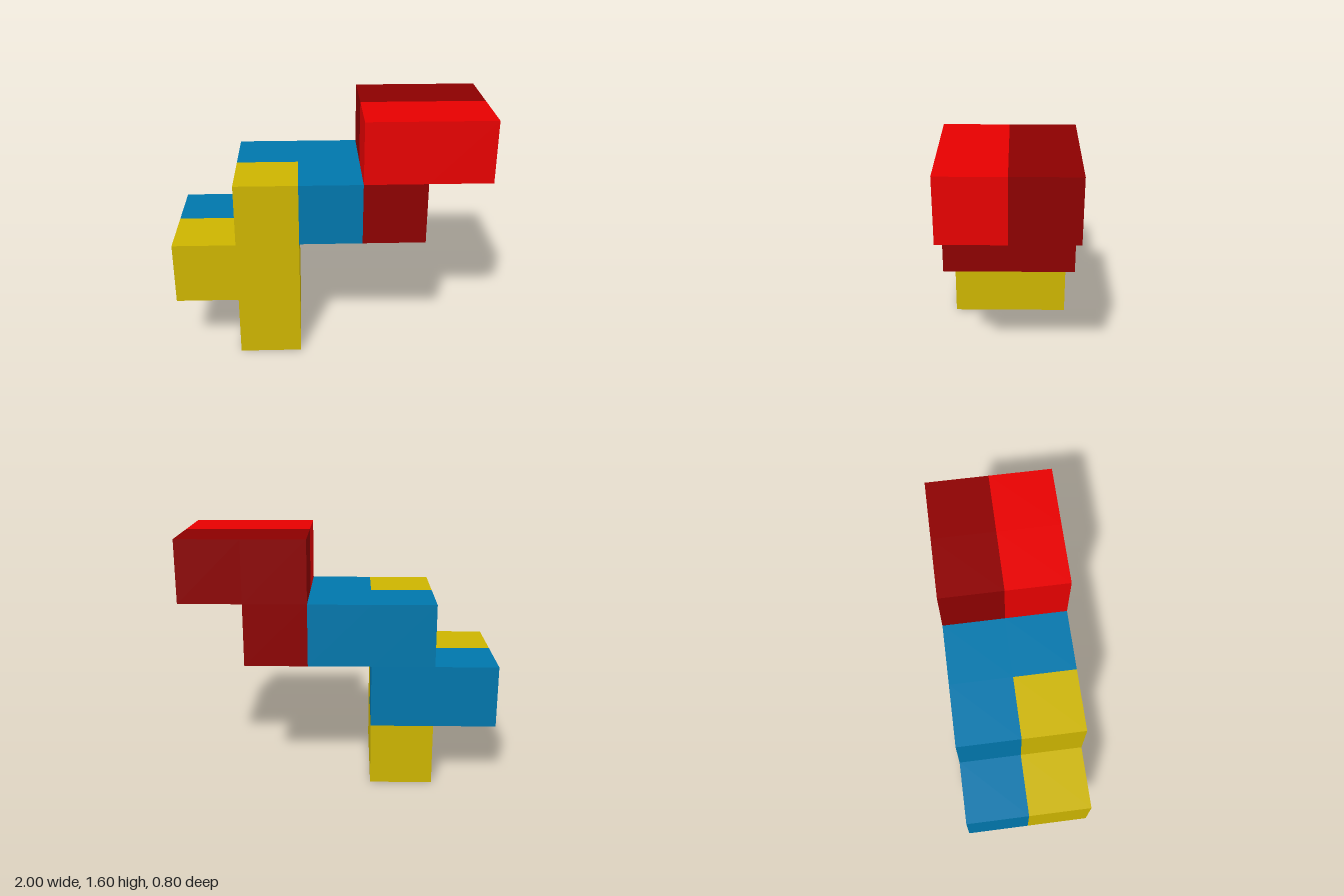
import * as THREE from 'three';
import { mergeGeometries } from 'three/addons/utils/BufferGeometryUtils.js';

const UNIT = 0.4;

// Each piece is made of unit cubes: [column, row, layer], layer 0 = back, 1 = front
const PIECES = [
  { name: 'yellowPiece', material: 'mustardYellow', color: 0xccb400,
    cells: [[1, 0, 0], [1, 0, 1], [1, 1, 1], [1, 2, 1], [0, 1, 1]] },
  { name: 'bluePiece', material: 'oceanBlue', color: 0x0076ab,
    cells: [[0, 1, 0], [1, 1, 0], [1, 2, 0], [2, 2, 0], [2, 2, 1]] },
  { name: 'darkRedPiece', material: 'darkRed', color: 0x8c0000,
    cells: [[3, 2, 1], [3, 2, 0], [3, 3, 0], [4, 3, 0]] },
  { name: 'redPiece', material: 'brightRed', color: 0xe60000,
    cells: [[3, 3, 1], [4, 3, 1]] },
];

const DIRECTIONS = [[1, 0, 0], [-1, 0, 0], [0, 1, 0], [0, -1, 0], [0, 0, 1], [0, 0, -1]];

// One square face of a unit cube, pointing along the given direction
function cubeFace([i, j, k], direction) {
  const normal = new THREE.Vector3(...direction);
  const turn = new THREE.Quaternion().setFromUnitVectors(new THREE.Vector3(0, 0, 1), normal);
  const centre = new THREE.Vector3(i - 2, j + 0.5, k - 0.5)
    .addScaledVector(normal, 0.5)
    .multiplyScalar(UNIT);
  return new THREE.PlaneGeometry(UNIT, UNIT)
    .applyQuaternion(turn)
    .translate(centre.x, centre.y, centre.z);
}

export function createModel() {
  const group = new THREE.Group();
  group.name = 'interlockingBlocks';
  const filled = new Set(PIECES.flatMap((piece) => piece.cells.map(String)));

  for (const piece of PIECES) {
    // Keep only the faces that are not covered by a neighbouring cube
    const faces = [];
    for (const cell of piece.cells) {
      for (const direction of DIRECTIONS) {
        const neighbour = cell.map((value, axis) => value + direction[axis]);
        if (!filled.has(String(neighbour))) faces.push(cubeFace(cell, direction));
      }
    }
    const material = new THREE.MeshStandardMaterial({ color: piece.color });
    material.name = piece.material;
    const mesh = new THREE.Mesh(mergeGeometries(faces), material);
    mesh.name = piece.name;
    group.add(mesh);
  }
  return group;
}
